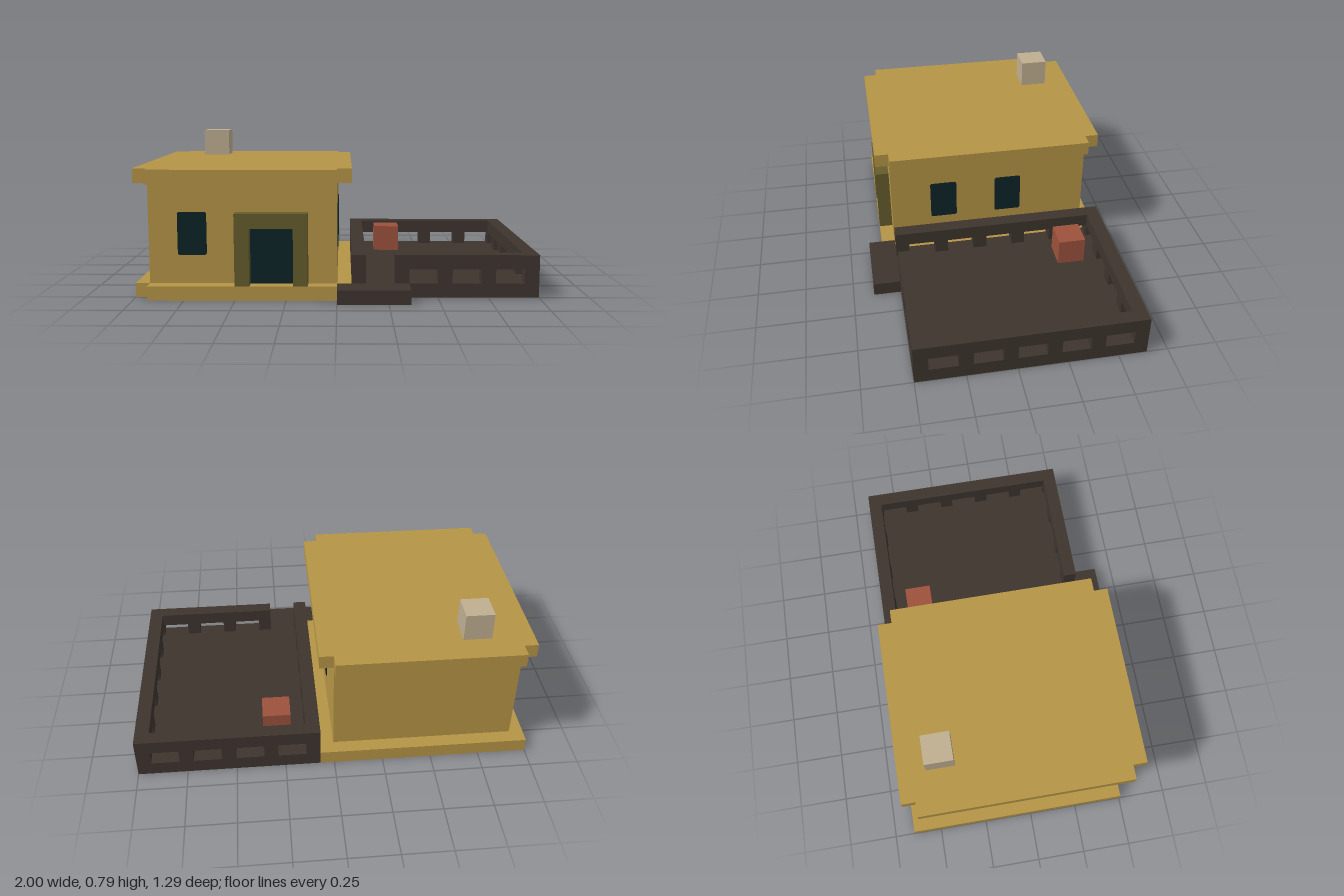
import * as THREE from 'three';

const U = 1 / 14; // one building block

const mat = (name, color) => {
  const m = new THREE.MeshStandardMaterial({ color });
  m.name = name;
  return m;
};

export function createModel() {
  const sand = mat('sand plaster', 0xb59446);
  const brown = mat('dark wood', 0x3d342e);
  const glass = mat('dark glass', 0x0d2326);
  const olive = mat('olive frame', 0x655c2c);
  const stone = mat('pale stone', 0xbfae91);
  const brick = mat('red brick', 0x9b513b);

  const model = new THREE.Group();
  model.name = 'house';

  const add = (parent, name, geometry, material) => {
    const mesh = new THREE.Mesh(geometry, material);
    mesh.name = name;
    parent.add(mesh);
    return mesh;
  };
  // Box from its limits, in blocks
  const box = (parent, name, material, [x0, x1], [y0, y1], [z0, z1]) => {
    const g = new THREE.BoxGeometry((x1 - x0) * U, (y1 - y0) * U, (z1 - z0) * U);
    g.translate((x0 + x1) / 2 * U, (y0 + y1) / 2 * U, (z0 + z1) / 2 * U);
    return add(parent, name, g, material);
  };
  const outline = (pts) => new THREE.Shape(pts.map(([a, b]) => new THREE.Vector2(a * U, b * U)));
  const extrude = (pts, depth) =>
    new THREE.ExtrudeGeometry(outline(pts), { depth, bevelEnabled: false });
  // Horizontal slab, one block thick, from an (x, z) outline
  const slab = (name, material, pts, top) =>
    add(model, name, extrude(pts, U).rotateX(Math.PI / 2).translate(0, top * U, 0), material);

  // House: plinth, walls and roof with notched corners
  slab('plinth', sand, [[-14, -9], [1, -9], [1, 7], [0, 7], [0, 8], [-13, 8], [-13, 7], [-14, 7]], 1);
  box(model, 'walls', sand, [-13, 0], [1, 8], [-8, 7]);
  slab('roof', sand, [[-13, -9], [0, -9], [0, -8], [1, -8], [1, 7], [0, 7], [0, 8],
    [-13, 8], [-13, 7], [-14, 7], [-14, -8], [-13, -8]], 9);
  box(model, 'chimney', stone, [-11, -9], [9, 11], [-7, -5]);

  // Doorway
  add(model, 'doorFrame', extrude([[-7, 1], [-6, 1], [-6, 5], [-3, 5], [-3, 1], [-2, 1], [-2, 6], [-7, 6]], U)
    .translate(0, 0, 7 * U), olive);
  box(model, 'door', glass, [-6, -3], [1, 5], [7, 7.06]);

  // Windows: thin plates with clipped corners, facing out from each wall
  const c = 0.1;
  const pane = [[-1 + c, 3], [1 - c, 3], [1, 3 + c], [1, 6 - c], [1 - c, 6], [-1 + c, 6], [-1, 6 - c], [-1, 3 + c]];
  const windows = [[-10, 7, 0], [0, 3, 1], [0, -2, 1], [-13, 2, -1], [-13, -4, -1]];
  for (const [x, z, turn] of windows) {
    const w = add(model, 'window', extrude(pane, 0.005), glass);
    w.position.set(x * U, 0, z * U);
    w.rotation.y = turn * Math.PI / 2;
  }

  // Terrace floor and front step
  box(model, 'terraceFloor', brown, [1, 14], [0, 1], [-9, 7]);
  box(model, 'step', brown, [0, 5], [0, 1], [7, 9]);

  // Railings: a top rail on evenly spaced posts
  const railing = (name, xs, zs, posts) => {
    const g = new THREE.Group();
    g.name = name;
    model.add(g);
    box(g, 'rail', brown, xs, [2, 3], zs);
    const alongX = xs[1] - xs[0] > 1;
    for (const p of posts) {
      box(g, 'post', brown, alongX ? [p, p + 1] : xs, [1, 2], alongX ? zs : [p, p + 1]);
    }
  };
  railing('backRailing', [1, 14], [-9, -8], [1, 4, 7, 10, 13]);
  railing('frontRailing', [4, 13], [6, 7], [4, 7, 10]);
  for (const [name, x] of [['outerRailing', 13], ['innerRailing', 1]]) {
    railing(name, [x, x + 1], [-8, 7], [-6, -3, 0, 3, 6]);
  }

  // Brick block on the terrace
  box(model, 'brickBlock', brick, [3, 5], [1, 3], [-7, -5]);

  return model;
}
